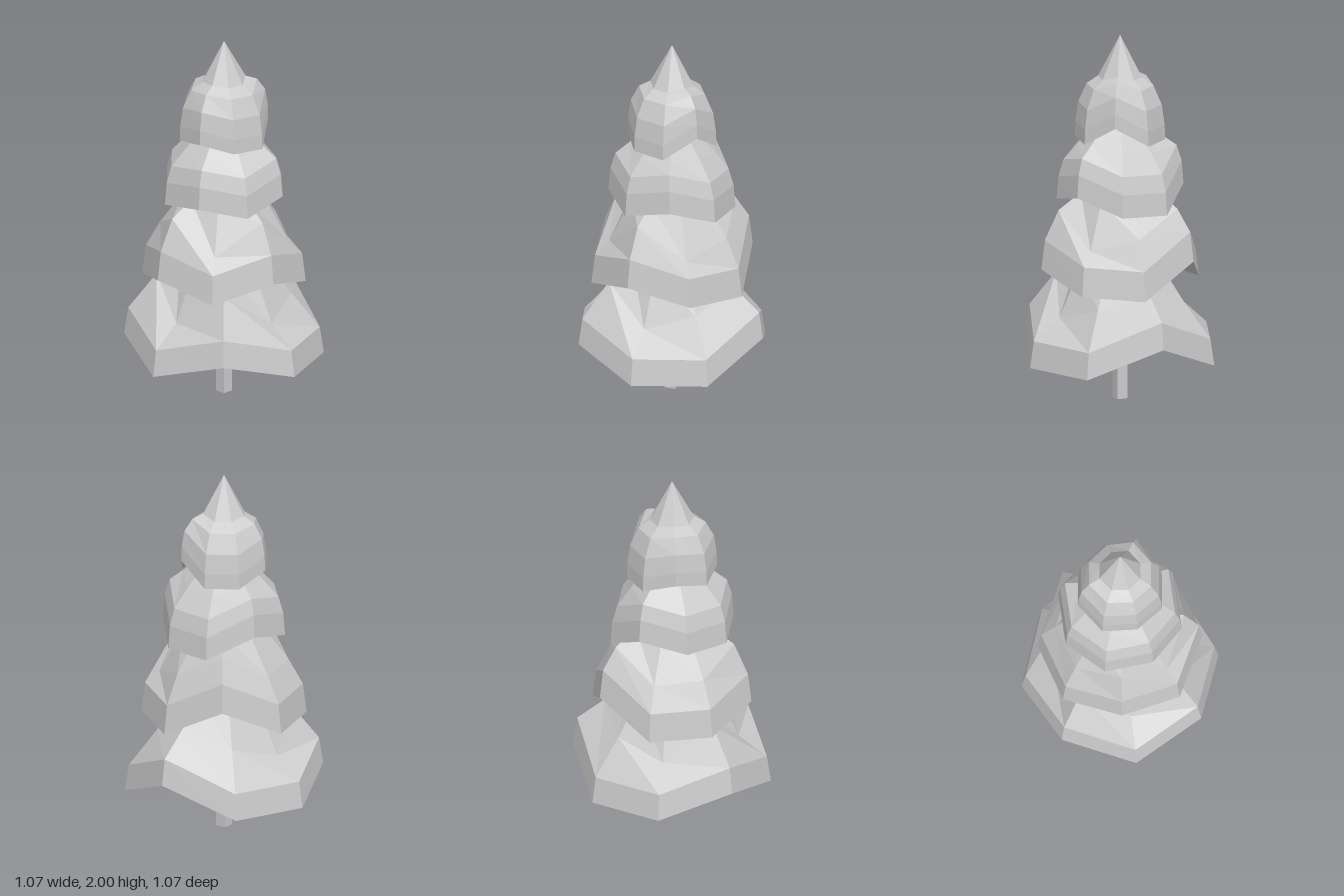
import * as THREE from 'three';

const SIDES = 8;

// Each tier: turn of the first corner, rim heights around the eight corners,
// and a profile of [radius, rise above the corner's rim, share of the corner's lift].
// A ring with its own uneven heights lists them in place of rise and share.
const TIERS = [
  {
    name: 'bottomBranches', turn: 0, base: 0.22, apex: 1.0, hollow: 0.56,
    rim: [0.38, 0.22, 0.22, 0.33, 0.22, 0.33, 0.22, 0.22],
    profile: [
      [0.534, 0, 1], [0.512, 0.145, 1],
      [0.36, [0.65, 0.56, 0.48, 0.67, 0.48, 0.67, 0.48, 0.56]],
      [0.23, 0.53, 0.3],
    ],
  },
  {
    name: 'lowerMiddleBranches', turn: 8, base: 0.635, apex: 1.36, hollow: 0.9,
    rim: [0.63, 0.65, 0.74, 0.65, 0.73, 0.65, 0.64, 0.8],
    profile: [
      [0.442, 0, 1], [0.422, 0.16, 1],
      [0.345, [0.95, 0.88, 1.06, 0.89, 1.06, 0.95, 0.93, 1.08]],
      [0.22, 0.48, 0.3],
    ],
  },
  {
    name: 'upperMiddleBranches', turn: 23, base: 1.07, apex: 1.65, hollow: 1.25,
    rim: [1.07, 1.16, 1.1, 1.15, 1.11, 1.12, 1.18, 1.06],
    profile: [[0.34, 0, 1], [0.33, 0.125, 1], [0.303, 0.22, 0.9], [0.225, 0.32, 0.5]],
  },
  {
    name: 'topBranches', turn: 32, base: 1.43, apex: 2.0, hollow: 1.55,
    rim: [1.54, 1.43, 1.44, 1.48, 1.45, 1.49, 1.43, 1.43],
    profile: [
      [0.243, 0, 1], [0.24, 0.08, 1], [0.225, 0.19, 0.8],
      [0.18, 0.295, 0.4], [0.118, 0.34, 0.2],
    ],
  },
];

const material = new THREE.MeshStandardMaterial({ color: 0xcccccc, flatShading: true });

// Faceted skirt: stacked rings, a pointed top and a hollow underside
function tierGeometry({ turn, base, apex, hollow, rim, profile }) {
  const positions = [];
  const index = [];
  for (const [radius, rise, share] of profile) {
    for (let i = 0; i < SIDES; i++) {
      const angle = THREE.MathUtils.degToRad(turn + (i * 360) / SIDES);
      const y = Array.isArray(rise) ? rise[i] : base + rise + (rim[i] - base) * share;
      positions.push(radius * Math.cos(angle), y, radius * Math.sin(angle));
    }
  }
  const top = profile.length * SIDES;
  const under = top + 1;
  positions.push(0, apex, 0, 0, hollow, 0);

  for (let i = 0; i < SIDES; i++) {
    const j = (i + 1) % SIDES;
    for (let r = 0; r < profile.length - 1; r++) {
      const a = r * SIDES + i, b = r * SIDES + j;
      index.push(a, a + SIDES, b + SIDES, a, b + SIDES, b);
    }
    const last = (profile.length - 1) * SIDES;
    index.push(last + i, top, last + j);
    index.push(under, i, j);
  }
  const geometry = new THREE.BufferGeometry();
  geometry.setAttribute('position', new THREE.Float32BufferAttribute(positions, 3));
  geometry.setIndex(index);
  const flat = geometry.toNonIndexed();
  flat.computeVertexNormals();
  return flat;
}

export function createModel() {
  const tree = new THREE.Group();
  tree.name = 'pineTree';

  // Thin square trunk
  const trunkHeight = 0.62;
  const trunk = new THREE.Mesh(new THREE.BoxGeometry(0.06, trunkHeight, 0.06), material);
  trunk.name = 'trunk';
  trunk.position.y = trunkHeight / 2;
  tree.add(trunk);

  // Four overlapping tiers of branches
  for (const tier of TIERS) {
    const mesh = new THREE.Mesh(tierGeometry(tier), material);
    mesh.name = tier.name;
    tree.add(mesh);
  }
  return tree;
}
